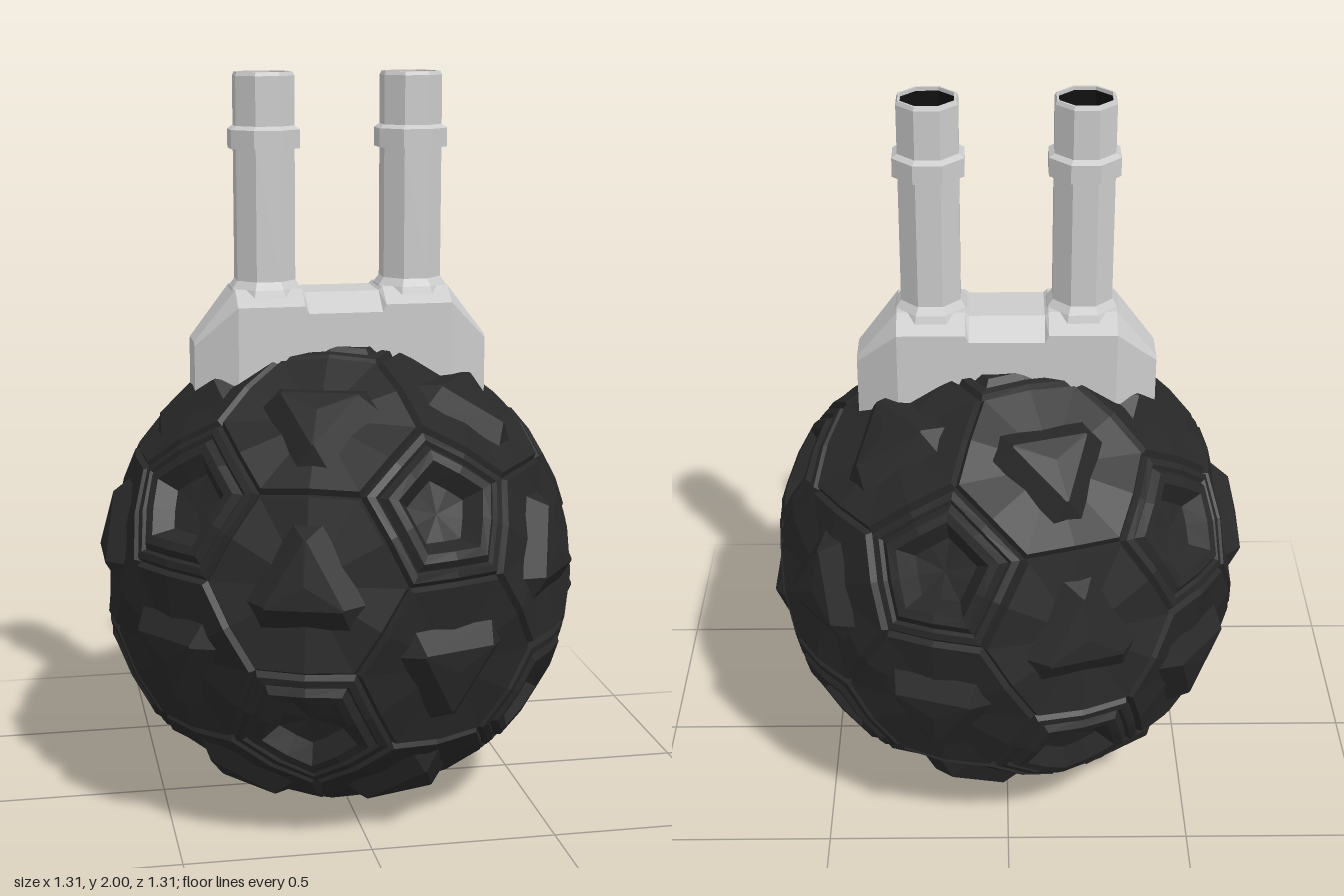
import * as THREE from 'three';

const V = (x, y, z) => new THREE.Vector3(x, y, z);
const CENTRE = V(0, 0.64, 0);

// Skins a series of equal-length rings (counter-clockwise about the end point), closed at the end
function loft(out, rings, end) {
  const tri = (...p) => p.forEach(v => out.push(v.x, v.y, v.z));
  rings.forEach((a, k) => {
    const b = rings[k + 1];
    a.forEach((p, i) => {
      const j = (i + 1) % a.length;
      if (b) { tri(p, a[j], b[j]); tri(p, b[j], b[i]); } else tri(p, a[j], end);
    });
  });
}

function makeMesh(name, positions, material) {
  const geometry = new THREE.BufferGeometry();
  geometry.setAttribute('position', new THREE.Float32BufferAttribute(positions, 3));
  geometry.computeVertexNormals();
  const mesh = new THREE.Mesh(geometry, material);
  mesh.name = name;
  return mesh;
}

// Sorts directions counter-clockwise about c, as seen from outside
function sortAround(c, dirs) {
  const u = dirs[0].clone().addScaledVector(c, -dirs[0].dot(c)).normalize();
  const w = c.clone().cross(u);
  const angle = d => Math.atan2(d.dot(w), d.dot(u));
  return dirs.sort((a, b) => angle(a) - angle(b));
}

// Outline scaled towards c and pushed out to the given radius
const ring = (c, dirs, scale, radius) =>
  dirs.map(d => c.clone().lerp(d, scale).normalize().multiplyScalar(radius));

// Adds the middle of each edge so panel outlines bulge with the ball
const withMidpoints = dirs => dirs.flatMap((d, i) =>
  [d, d.clone().add(dirs[(i + 1) % dirs.length]).normalize()]);

function createBall(material) {
  // Twelve icosahedron corners with one at the top
  const verts = [V(0, 1, 0), V(0, -1, 0)];
  const lat = Math.atan(0.5);
  for (let i = 0; i < 10; i++) {
    const a = i * Math.PI / 5, s = i % 2 ? -1 : 1;
    verts.push(V(Math.cos(a) * Math.cos(lat), s * Math.sin(lat), Math.sin(a) * Math.cos(lat)));
  }
  const near = (a, b) => a !== b && a.distanceTo(b) < 1.1;
  const third = (a, b) => a.clone().multiplyScalar(2).add(b).normalize();
  const pentagons = [], hexagons = [], studs = [];

  // Recessed pentagon panels with a raised frame
  const pentProfile = [[1, 0.635], [0.94, 0.65], [0.84, 0.65], [0.8, 0.64], [0.7, 0.655], [0.58, 0.65], [0.42, 0.6]];
  for (const v of verts) {
    const corners = sortAround(v, verts.filter(o => near(v, o)).map(o => third(v, o)));
    const dirs = withMidpoints(corners);
    loft(pentagons, pentProfile.map(([s, r]) => ring(v, dirs, s, r)), v.clone().multiplyScalar(0.59));
  }

  // Hexagon panels, each with a blunt triangular stud
  for (let i = 0; i < 12; i++) for (let j = i + 1; j < 12; j++) for (let k = j + 1; k < 12; k++) {
    const f = [verts[i], verts[j], verts[k]];
    if (!near(f[0], f[1]) || !near(f[1], f[2]) || !near(f[0], f[2])) continue;
    const c = f[0].clone().add(f[1]).add(f[2]).normalize();
    const corners = sortAround(c, f.flatMap(a => f.filter(b => b !== a).map(b => third(a, b))));
    const dirs = withMidpoints(corners);
    loft(hexagons, [[1, 0.635], [0.95, 0.65]].map(([s, r]) => ring(c, dirs, s, r)), c.clone().multiplyScalar(0.62));

    const tips = sortAround(c, f.map((a, n) => a.clone().add(f[(n + 1) % 3]).normalize()));
    const blunt = t => tips.flatMap((p, n) =>
      [p.clone().lerp(tips[(n + 2) % 3], t), p.clone().lerp(tips[(n + 1) % 3], t)]);
    loft(studs, [ring(c, blunt(0.2), 0.94, 0.63), ring(c, blunt(0.03), 0.5, 0.665)], c.clone().multiplyScalar(0.66));
  }

  const ball = new THREE.Group();
  ball.name = 'ball';
  ball.position.copy(CENTRE);
  ball.add(makeMesh('pentagonPanels', pentagons, material),
    makeMesh('hexagonPanels', hexagons, material),
    makeMesh('triangleStuds', studs, material));
  return ball;
}

// Chamfered block carrying the two pipes
function createMount(material) {
  const section = (x, half, shoulder, topHalf, top) =>
    [[-half, 1.08], [-half, shoulder], [-topHalf, top], [topHalf, top], [half, shoulder], [half, 1.08]]
      .map(([z, y]) => V(x, y, z));
  const side = [[0.4, 0.06, 1.28, 0.05, 1.29], [0.29, 0.13, 1.39, 0.07, 1.43],
    [0.11, 0.13, 1.39, 0.07, 1.43], [0.1, 0.13, 1.37, 0.07, 1.42]];
  const sections = [
    ...side.map(([x, ...rest]) => section(-x, ...rest)),
    ...side.slice().reverse().map(s => section(...s)),
  ];
  const start = sections[0].map(() => V(-0.4, 1.18, 0));
  const positions = [];
  loft(positions, [start, ...sections], V(0.4, 1.18, 0));
  return makeMesh('mount', positions, material);
}

// Eight-sided turned part with flats facing front and sides
function turned(name, profile, material) {
  const points = profile.map(([r, y]) => new THREE.Vector2(r, y));
  const mesh = new THREE.Mesh(new THREE.LatheGeometry(points, 8, Math.PI / 8), material);
  mesh.name = name;
  return mesh;
}

function createPipe(name, x, grey, black) {
  const pipe = new THREE.Group();
  pipe.name = name;
  pipe.position.x = x;
  pipe.add(
    turned('tube', [[0.12, 1.38], [0.1, 1.43], [0.085, 1.45], [0.085, 1.8], [0.1, 1.8], [0.1, 1.85],
      [0.085, 1.86], [0.085, 1.99], [0.08, 2], [0.074, 2], [0.074, 1.99]], grey),
    turned('bore', [[0.074, 1.99], [0.074, 1.94], [0, 1.94]], black),
  );
  return pipe;
}

export function createModel() {
  const grey = new THREE.MeshStandardMaterial({ color: 0xcccccc, flatShading: true });
  const dark = new THREE.MeshStandardMaterial({ color: 0x282828, flatShading: true });
  const black = new THREE.MeshStandardMaterial({ color: 0x101010, flatShading: true });
  const model = new THREE.Group();
  model.name = 'studdedBall';
  model.add(createBall(dark), createMount(grey),
    createPipe('leftPipe', 0.2, grey, black), createPipe('rightPipe', -0.2, grey, black));
  return model;
}
